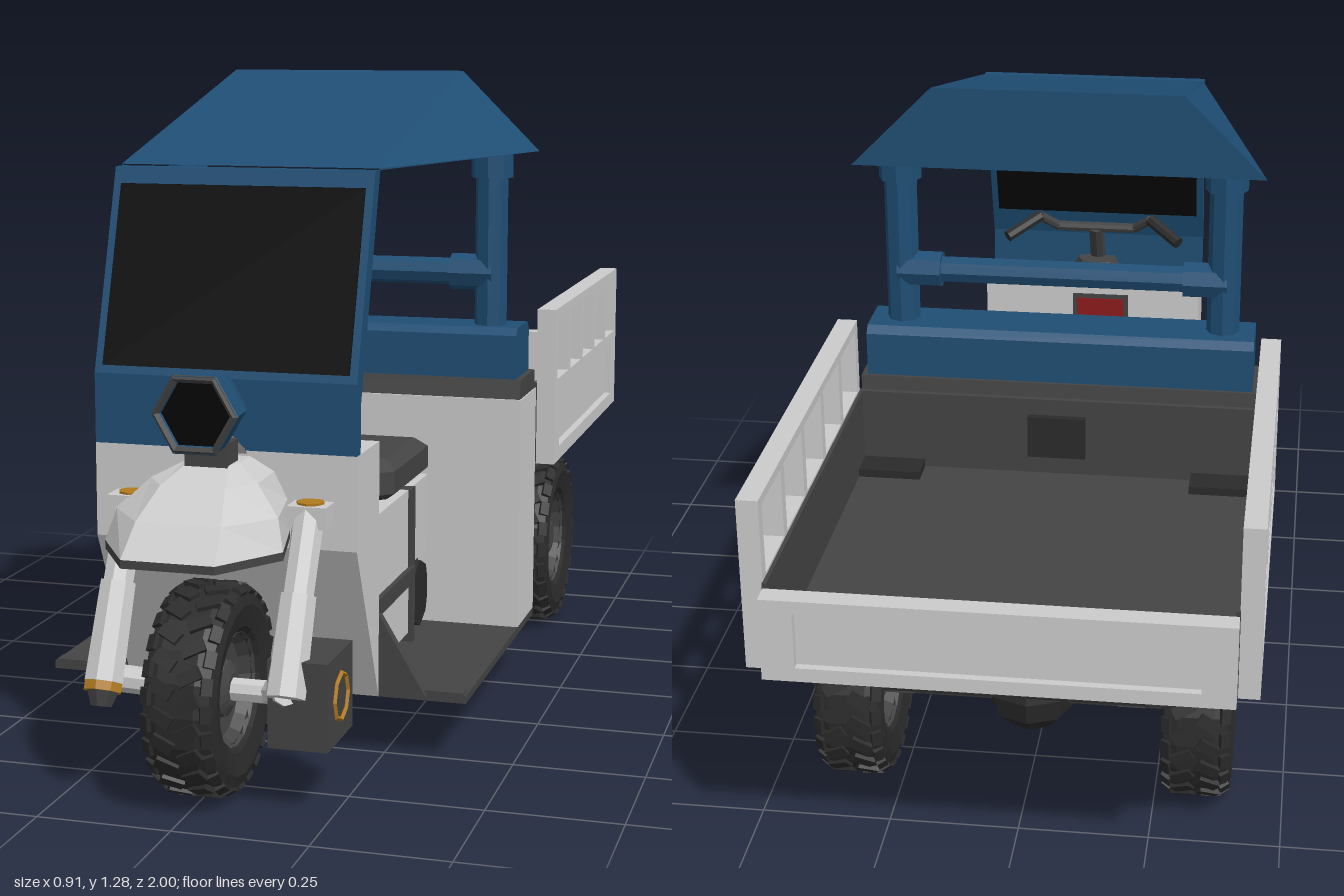
import * as THREE from 'three';
import { mergeGeometries } from 'three/addons/utils/BufferGeometryUtils.js';

export function createModel() {
  const model = new THREE.Group();
  const mat = (color, side = THREE.FrontSide) => {
    const m = new THREE.MeshStandardMaterial({ color, side });
    m.flatShading = true;
    return m;
  };
  const grey = mat(0xcccccc), greyThin = mat(0xcccccc, THREE.DoubleSide);
  const blue = mat(0x1f4e74), blueThin = mat(0x1f4e74, THREE.DoubleSide);
  const dark = mat(0x444444), darkThin = mat(0x444444, THREE.DoubleSide);
  const rubber = mat(0x2b2b2b), black = mat(0x050505);
  const gold = mat(0xb07a20), red = mat(0x8c1c1c);

  // helpers
  const add = (name, geo, material, parent = model) => {
    const m = new THREE.Mesh(geo, material);
    m.name = name;
    parent.add(m);
    return m;
  };
  // box given by its min and max on each axis
  const box = (name, m, x0, x1, y0, y1, z0, z1) => {
    const g = new THREE.BoxGeometry(x1 - x0, y1 - y0, z1 - z0);
    g.translate((x0 + x1) / 2, (y0 + y1) / 2, (z0 + z1) / 2);
    return add(name, g, m);
  };
  const bothSides = (fn) => [1, -1].forEach(fn);
  const pairBox = (name, m, x0, x1, ...rest) =>
    bothSides((s) => box(name, m, Math.min(s * x0, s * x1), Math.max(s * x0, s * x1), ...rest));
  // cylinder between two points
  const rod = (name, m, a, b, r0, r1 = r0, sides = 8) => {
    const A = new THREE.Vector3(...a), B = new THREE.Vector3(...b), d = B.clone().sub(A);
    const mesh = add(name, new THREE.CylinderGeometry(r1, r0, d.length(), sides), m);
    mesh.position.copy(A).add(B).multiplyScalar(0.5);
    mesh.quaternion.setFromUnitVectors(new THREE.Vector3(0, 1, 0), d.normalize());
    return mesh;
  };
  const v2 = (pts) => pts.map((p) => new THREE.Vector2(...p));
  // (z, y) profile extruded along x
  const side = (name, m, pts, halfWidth) => {
    const g = new THREE.ExtrudeGeometry(new THREE.Shape(v2(pts)), { depth: 2 * halfWidth, bevelEnabled: false });
    g.translate(0, 0, -halfWidth).rotateY(-Math.PI / 2);
    return add(name, g, m);
  };
  // skin over cross-sections, with the last one capped
  const loft = (name, m, rings, closed) => {
    const n = rings[0].length, idx = [];
    for (let r = 0; r < rings.length - 1; r++)
      for (let i = 0; i < (closed ? n : n - 1); i++) {
        const a = r * n + i, b = r * n + (i + 1) % n;
        idx.push(a, b, b + n, a, b + n, a + n);
      }
    const last = (rings.length - 1) * n;
    for (let i = 1; i < n - 1; i++) idx.push(last, last + i, last + i + 1);
    const g = new THREE.BufferGeometry();
    g.setAttribute('position', new THREE.Float32BufferAttribute(rings.flat(2), 3));
    g.setIndex(idx);
    g.computeVertexNormals();
    return add(name, g, m);
  };

  // wheels
  const tireGeo = new THREE.LatheGeometry(v2([[0.1, -0.045], [0.115, -0.058], [0.155, -0.067],
    [0.178, -0.06], [0.189, -0.035], [0.189, 0.035], [0.178, 0.06], [0.155, 0.067], [0.115, 0.058], [0.1, 0.045]]), 20)
    .rotateZ(Math.PI / 2);
  const rimGeo = new THREE.LatheGeometry(v2([[0, -0.045], [0.03, -0.045], [0.05, -0.035], [0.055, -0.02], [0.09, -0.025],
    [0.105, -0.052], [0.105, 0.052], [0.09, 0.025], [0.055, 0.02], [0.05, 0.035], [0.03, 0.045], [0, 0.045]]), 16)
    .rotateZ(Math.PI / 2);
  const lugs = [];
  for (let i = 0; i < 24; i++)
    bothSides((s) => {
      const a = ((i + (s > 0 ? 0.5 : 0)) / 24) * Math.PI * 2;
      lugs.push(new THREE.BoxGeometry(0.042, 0.012, 0.024).rotateY(s * 0.5).translate(s * 0.024, 0.188, 0).rotateX(a));
      lugs.push(new THREE.BoxGeometry(0.02, 0.016, 0.03).rotateZ(-s * 0.6).translate(s * 0.053, 0.178, 0).rotateX(a + 0.08));
    });
  const treadGeo = mergeGeometries(lugs);
  const wheel = (name, x, z) => {
    const g = new THREE.Group();
    g.name = name;
    g.position.set(x, 0.195, z);
    add('tire', tireGeo, rubber, g);
    add('rim', rimGeo, dark, g);
    add('tread', treadGeo, rubber, g);
    model.add(g);
  };
  wheel('frontWheel', 0, 0.79);
  bothSides((s) => wheel('rearWheel', s * 0.333, -0.54));

  // front fork and hub
  bothSides((s) => {
    const x = s * 0.17;
    rod('forkLower', grey, [x, 0.215, 0.877], [x, 0.38, 0.8], 0.037, 0.034);
    rod('forkUpper', grey, [x, 0.36, 0.81], [x, 0.515, 0.728], 0.029);
    rod('forkTopTrim', gold, [x, 0.53, 0.722], [x, 0.534, 0.722], 0.026);
    rod('axleArm', grey, [x, 0.225, 0.87], [s * 0.12, 0.195, 0.79], 0.025);
  });
  rod('forkCap', dark, [-0.17, 0.175, 0.89], [-0.17, 0.21, 0.879], 0.02, 0.034);
  rod('forkTrim', gold, [-0.17, 0.2, 0.884], [-0.17, 0.215, 0.877], 0.036);
  pairBox('forkBracket', grey, 0.135, 0.208, 0.49, 0.53, 0.69, 0.755);
  rod('frontAxle', grey, [-0.16, 0.195, 0.79], [0.16, 0.195, 0.79], 0.022);
  box('hubBox', dark, 0.135, 0.245, 0.12, 0.28, 0.71, 0.87);
  const ring = add('hubRing', new THREE.TorusGeometry(0.043, 0.005, 4, 8), gold);
  ring.rotation.y = Math.PI / 2;
  ring.position.set(0.246, 0.2, 0.79);

  // front fender
  const fenderRing = (y, half) => [...half.map(([x, z]) => [x, y, z]), ...[...half].reverse().map(([x, z]) => [-x, y, z])].reverse();
  const lip = [[0.085, 1], [0.165, 0.87], [0.125, 0.7]];
  loft('fender', greyThin, [
    fenderRing(0.475, lip),
    fenderRing(0.53, [[0.078, 0.945], [0.15, 0.85], [0.12, 0.7]]),
    fenderRing(0.58, [[0.06, 0.87], [0.1, 0.81], [0.095, 0.7]]),
    fenderRing(0.605, [[0.04, 0.79], [0.05, 0.76], [0.05, 0.7]])], true);
  loft('fenderLip', darkThin, [fenderRing(0.475, lip), fenderRing(0.46, lip)], true);

  // headlight
  const lamp = add('headlight', new THREE.LatheGeometry(v2([[0, -0.14], [0.03, -0.136], [0.058, -0.115], [0.073, -0.07],
    [0.079, 0], [0.068, 0], [0.06, -0.02], [0, -0.02]]), 6), blue);
  lamp.rotation.set(Math.PI / 2, Math.PI / 6, 0);
  lamp.position.set(0, 0.705, 0.86);
  const bezel = add('headlightBezel', new THREE.TorusGeometry(0.073, 0.008, 4, 6), dark);
  bezel.position.set(0, 0.705, 0.857);
  rod('headlightGlass', black, [0, 0.705, 0.835], [0, 0.705, 0.85], 0.066, 0.066, 6).rotateY(Math.PI / 6);
  box('headlightStand', dark, -0.04, 0.04, 0.6, 0.645, 0.74, 0.8);

  // front body and dashboard
  side('frontBody', grey, [[0.545, 0.125], [0.7, 0.44], [0.7, 0.615], [0.545, 0.615]], 0.25);
  for (let i = 0; i < 6; i++) {
    const x = -0.21 + (i % 3) * 0.06, z = 0.575 + Math.floor(i / 3) * 0.06;
    rod('gauge', black, [x, 0.61, z], [x, 0.619, z], 0.024);
  }
  rod('largeGauge', black, [0.17, 0.61, 0.61], [0.17, 0.619, 0.61], 0.045);
  box('dashPanel', dark, -0.085, 0.045, 0.505, 0.595, 0.542, 0.548);
  box('redPanel', red, -0.075, 0.035, 0.515, 0.585, 0.539, 0.546);

  // handlebar
  rod('steeringBase', dark, [0, 0.61, 0.66], [0, 0.645, 0.66], 0.06, 0.045);
  rod('steeringStem', dark, [0, 0.63, 0.685], [0, 0.73, 0.635], 0.018);
  rod('handlebarClamp', dark, [-0.09, 0.73, 0.635], [0.09, 0.73, 0.635], 0.012);
  bothSides((s) => {
    rod('handlebarRise', dark, [s * 0.09, 0.73, 0.635], [s * 0.13, 0.763, 0.605], 0.011);
    rod('handleGrip', rubber, [s * 0.13, 0.763, 0.605], [s * 0.2, 0.728, 0.55], 0.014);
  });

  // windscreen
  side('windscreenFrame', blue, [[0.7, 0.615], [0.7, 0.745], [0.58, 1.115], [0.545, 1.115], [0.675, 0.7], [0.675, 0.615]], 0.25);
  side('windscreenGlass', black, [[0.699, 0.76], [0.593, 1.085], [0.55, 1.085], [0.652, 0.76]], 0.235);

  // roof
  const roofRing = (w, yTop, z) => [[-w, 1.115, z], [-0.25, yTop, z], [0.25, yTop, z], [w, 1.115, z]];
  loft('roof', blueThin, [roofRing(0.25, 1.118, 0.55), roofRing(0.415, 1.28, -0.125)], false);

  // cab floor with opening
  const rect = (P, x0, x1, z0, z1) => {
    const p = new P();
    p.moveTo(x0, z0).lineTo(x1, z0).lineTo(x1, z1).lineTo(x0, z1).closePath();
    return p;
  };
  const floor = rect(THREE.Shape, -0.415, 0.415, -0.53, 0.125);
  floor.holes.push(rect(THREE.Path, -0.2, 0.2, -0.22, -0.16));
  add('cabFloor', new THREE.ExtrudeGeometry(floor, { depth: 0.015, bevelEnabled: false }).rotateX(-Math.PI / 2).translate(0, 0.12, 0), dark);
  bothSides((s) => {
    const tri = new THREE.Shape(v2([[s * 0.2, 0.13], [s * 0.34, 0.13], [s * 0.25, 0.28], [s * 0.2, 0.28]]));
    add('floorGusset', new THREE.ExtrudeGeometry(tri, { depth: 0.02, bevelEnabled: false }).translate(0, 0, 0.52), dark);
  });
  pairBox('floorClip', dark, 0.33, 0.41, 0.13, 0.14, 0.5, 0.53);

  // seat, tunnel and engine
  box('tunnel', grey, -0.22, 0.22, 0.29, 0.45, 0.03, 0.545);
  pairBox('tunnelStrap', dark, 0.2, 0.225, 0.29, 0.45, 0.165, 0.205);
  box('underframe', dark, -0.23, 0.23, 0.27, 0.29, 0.18, 0.54);
  pairBox('batteryBox', grey, 0.06, 0.225, 0.158, 0.255, 0.22, 0.505);
  pairBox('batteryLid', dark, 0.06, 0.228, 0.255, 0.27, 0.215, 0.51);
  pairBox('framePost', dark, 0.2, 0.23, 0.13, 0.28, 0.185, 0.205);
  rod('engine', rubber, [-0.22, 0.21, 0.1], [0.22, 0.21, 0.1], 0.07);
  box('engineBlock', dark, -0.2, 0.2, 0.16, 0.29, 0.04, 0.15);
  const seatRing = (y, w, z0, z1) => [[-w, z0], [-w, z1 - 0.06], [-w + 0.06, z1], [w - 0.06, z1], [w, z1 - 0.06], [w, z0]]
    .map(([x, z]) => [x, y, z]);
  loft('seat', dark, [seatRing(0.45, 0.2, 0.04, 0.36), seatRing(0.465, 0.22, 0.04, 0.375),
    seatRing(0.51, 0.22, 0.04, 0.375), seatRing(0.53, 0.195, 0.06, 0.35)], true);

  // cab rear wall, sill and posts
  box('rearWall', grey, -0.415, 0.415, 0.124, 0.615, -0.125, 0.04);
  side('sill', dark, [[-0.125, 0.615], [0.035, 0.615], [0.025, 0.655], [-0.12, 0.655]], 0.412);
  side('rearCabBeam', blue, [[-0.113, 0.655], [0.023, 0.655], [0.023, 0.745], [0.008, 0.76], [-0.098, 0.76], [-0.113, 0.745]], 0.4);
  bothSides((s) => {
    const x = s * 0.333, z = -0.04;
    rod('roofPost', blue, [x, 0.75, z], [x, 1.13, z], 0.034);
    rod('postCollar', blue, [x, 1.065, z], [x, 1.12, z], 0.044);
    rod('barCollar', blue, [s * 0.25, 0.868, z], [s * 0.34, 0.868, z], 0.038);
  });
  rod('crossbar', blue, [-0.33, 0.868, -0.04], [0.33, 0.868, -0.04], 0.028);

  // cargo bed
  box('bedFloor', dark, -0.415, 0.415, 0.44, 0.458, -0.965, -0.125);
  pairBox('bedLiner', dark, 0.408, 0.416, 0.455, 0.625, -0.96, -0.125);
  box('bedFrontLiner', dark, -0.41, 0.41, 0.455, 0.625, -0.135, -0.124);
  pairBox('bedSide', grey, 0.415, 0.44, 0.45, 0.63, -0.955, -0.13);
  pairBox('sideBorder', grey, 0.44, 0.455, 0.605, 0.63, -0.955, -0.13);
  pairBox('sideBorder', grey, 0.44, 0.455, 0.45, 0.48, -0.955, -0.13);
  pairBox('sideBorder', grey, 0.44, 0.455, 0.48, 0.605, -0.19, -0.13);
  pairBox('sideBorder', grey, 0.44, 0.455, 0.48, 0.605, -0.955, -0.895);
  pairBox('topRail', grey, 0.415, 0.455, 0.765, 0.782, -0.955, -0.13);
  for (let i = 0; i < 6; i++) {
    const z = -0.142 - i * 0.1602;
    pairBox('railPost', grey, 0.415, 0.455, 0.63, 0.766, z - 0.012, z + 0.012);
  }
  box('tailgate', grey, -0.415, 0.415, 0.455, 0.615, -0.985, -0.96);
  box('tailgateBorder', grey, -0.415, 0.415, 0.59, 0.615, -1, -0.985);
  box('tailgateBorder', grey, -0.415, 0.415, 0.455, 0.482, -1, -0.985);
  pairBox('tailgateBorder', grey, 0.355, 0.415, 0.482, 0.59, -1, -0.985);
  pairBox('bedCorner', rubber, 0.35, 0.41, 0.458, 0.56, -0.96, -0.94);
  pairBox('bedCorner', rubber, 0.385, 0.41, 0.458, 0.56, -0.94, -0.9);
  pairBox('bedBracket', rubber, 0.28, 0.41, 0.458, 0.475, -0.2, -0.135);
  box('bedHatch', rubber, -0.06, 0.06, 0.5, 0.59, -0.15, -0.134);

  // rear chassis and axle
  box('rearWallBacking', rubber, -0.405, 0.405, 0.135, 0.44, -0.132, -0.124);
  side('chassisSlope', rubber, [[-0.125, 0.29], [-0.3, 0.44], [-0.125, 0.44]], 0.37);
  side('gearHousing', rubber, [[-0.13, 0.13], [-0.22, 0.13], [-0.29, 0.2], [-0.24, 0.29], [-0.13, 0.32]], 0.2);
  pairBox('chassisRail', rubber, 0.17, 0.25, 0.37, 0.44, -0.78, -0.2);
  [-0.36, -0.55, -0.76].forEach((z) => box('chassisCrossbar', rubber, -0.25, 0.25, 0.31, 0.44, z - 0.02, z + 0.02));
  pairBox('leafSpring', dark, 0.19, 0.24, 0.3, 0.33, -0.77, -0.3);
  rod('rearAxle', dark, [-0.33, 0.195, -0.54], [0.33, 0.195, -0.54], 0.035);
  pairBox('axleMount', dark, 0.19, 0.24, 0.19, 0.31, -0.58, -0.5);
  add('differential', new THREE.SphereGeometry(0.095, 8, 6), rubber).position.set(0, 0.2, -0.54);
  rod('driveShaft', dark, [0, 0.2, -0.5], [0, 0.22, -0.15], 0.025);

  return model;
}
